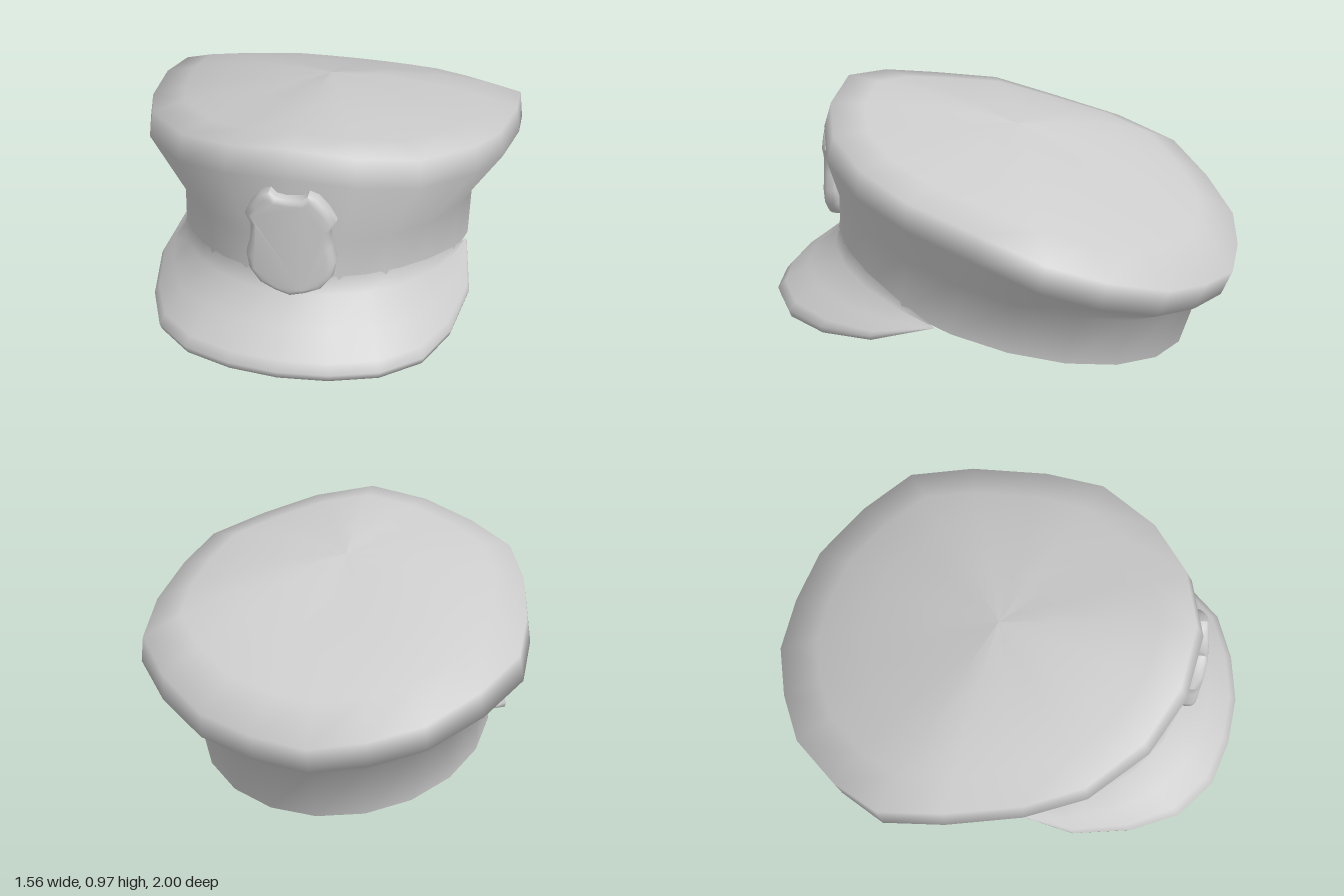
import * as THREE from 'three';
import { toCreasedNormals } from 'three/addons/utils/BufferGeometryUtils.js';

const cloth = new THREE.MeshStandardMaterial({ color: 0xcccccc, side: THREE.DoubleSide });
cloth.name = 'lightGrey';

// Skin a list of equally long rows of [x, y, z] points.
function skin(rows, closed) {
  const n = rows[0].length, index = [];
  const cols = closed ? n : n - 1;
  for (let i = 0; i < rows.length - 1; i++) {
    for (let k = 0; k < cols; k++) {
      const a = i * n + k, b = i * n + (k + 1) % n, c = a + n, d = b + n;
      index.push(a, c, b, b, c, d);
    }
  }
  const g = new THREE.BufferGeometry();
  g.setAttribute('position', new THREE.Float32BufferAttribute(rows.flat(2), 3));
  g.setIndex(index);
  g.computeVertexNormals();
  return g;
}

// Full ring from its +x half, listed front to back.
const ring = half => [...half, ...half.slice(1, -1).reverse().map(([x, y, z]) => [-x, y, z])];
// Open strip from -x to +x from its +x half, listed from the centre outwards.
const strip = half => [...half.slice(1).reverse().map(([x, y, z]) => [-x, y, z]), ...half];
const lerp = (p, q, t) => p.map((v, i) => v + (q[i] - v) * t);
const bandBottomY = z => 0.16 + 0.205 * z;

function part(name, geometry) {
  const mesh = new THREE.Mesh(geometry, cloth);
  mesh.name = name;
  return mesh;
}

export function createModel() {
  const group = new THREE.Group();
  group.name = 'peakedCap';

  // Crown: domed top, sloping rim, rolled edge, then the underside down to the band
  const rim = [
    [0, 0.97, 0.74], [0.25, 0.93, 0.69], [0.47, 0.87, 0.56], [0.655, 0.82, 0.34],
    [0.73, 0.75, 0.1], [0.765, 0.68, -0.22], [0.755, 0.6, -0.49], [0.62, 0.51, -0.69],
    [0.43, 0.43, -0.87], [0.22, 0.385, -0.955], [0, 0.36, -1],
  ];
  const centre = [0, 0.86, -0.05];
  const dome = [0, 0.3, 0.6, 0.82].map(s => rim.map(p => {
    const q = lerp(centre, p, s);
    q[1] += s * (1 - s) * (0.14 - 0.12 * q[2]);
    return q;
  }));
  const edge = rim.map(([x, y, z]) => [x * 1.02, y - 0.11, z + (z > 0 ? 0.05 * z : -0.045 * z)]);

  // Band: tilted oval wall
  const oval = (rx, rz, zc, yAt) => rim.map((_, k) => {
    const a = k * Math.PI / 10, z = zc + rz * Math.cos(a);
    return [rx * Math.sin(a), yAt(z), z];
  });
  const bandTop = oval(0.61, 0.795, -0.055, z => 0.39 + 0.215 * z);
  const bandBottom = oval(0.605, 0.765, -0.02, bandBottomY);
  group.add(part('crownAndBand',
    skin([...dome, rim, edge, bandTop, bandBottom].map(ring), true)));

  // Base: flat sloping underside closing the band
  const baseCentre = rim.map(() => [0, bandBottomY(-0.02), -0.02]);
  group.add(part('base', skin([bandBottom, baseCentre].map(ring), true)));

  // Visor: fillet up the band, sloping top, rounded lip, hollow underside
  const lip = [
    [0, 0.11, 1], [0.2, 0.105, 0.975], [0.39, 0.1, 0.91], [0.54, 0.085, 0.77],
    [0.62, 0.08, 0.57], [0.66, 0.105, 0.32], [0.61, 0.172, 0.05],
  ];
  const root = lip.map((_, i) => {
    const a = i * 14 * Math.PI / 180, z = -0.02 + 0.765 * Math.cos(a);
    return [0.605 * Math.sin(a), bandBottomY(z), z];
  });
  // Point row between root and lip, lifted by dy, which fades out at the ends.
  const row = (t, dy) => lip.map((p, i) => {
    const q = lerp(root[i], p, t);
    q[1] += dy * (1 - (i / 6) ** 4);
    return q;
  });
  group.add(part('visor', skin([
    row(0, 0.08),
    row(0.06, 0.015),
    row(0.5, 0.012),
    row(0.88, 0.01),
    row(1, 0),
    row(0.96, -0.042),
    row(0.85, -0.045),
    row(0.45, -0.02),
    row(0, 0),
  ].map(strip), false)));

  // Badge: bevelled shield, bent to follow the front of the band
  const half = [
    [0.05, 0.787], [0.075, 0.81], [0.11, 0.793], [0.15, 0.74], [0.178, 0.685], [0.156, 0.645],
    [0.16, 0.57], [0.178, 0.5], [0.165, 0.43], [0.12, 0.375], [0.06, 0.35],
  ];
  const outline = [[0, 0.785], ...half, [0, 0.333], ...half.map(([x, y]) => [-x, y]).reverse()];
  const shield = new THREE.Shape(outline.map(([x, y]) => new THREE.Vector2(x, y)));
  const badgeGeometry = new THREE.ExtrudeGeometry(shield, {
    depth: 0.025, bevelEnabled: true, bevelThickness: 0.025, bevelSize: 0.025,
    bevelOffset: -0.025, bevelSegments: 3,
  });
  const pos = badgeGeometry.attributes.position;
  for (let i = 0; i < pos.count; i++) pos.setZ(i, pos.getZ(i) - 0.7 * pos.getX(i) ** 2);
  const badge = part('badge', toCreasedNormals(badgeGeometry, 0.9));
  badge.position.set(0.01, 0, 0.76);
  group.add(badge);

  return group;
}
